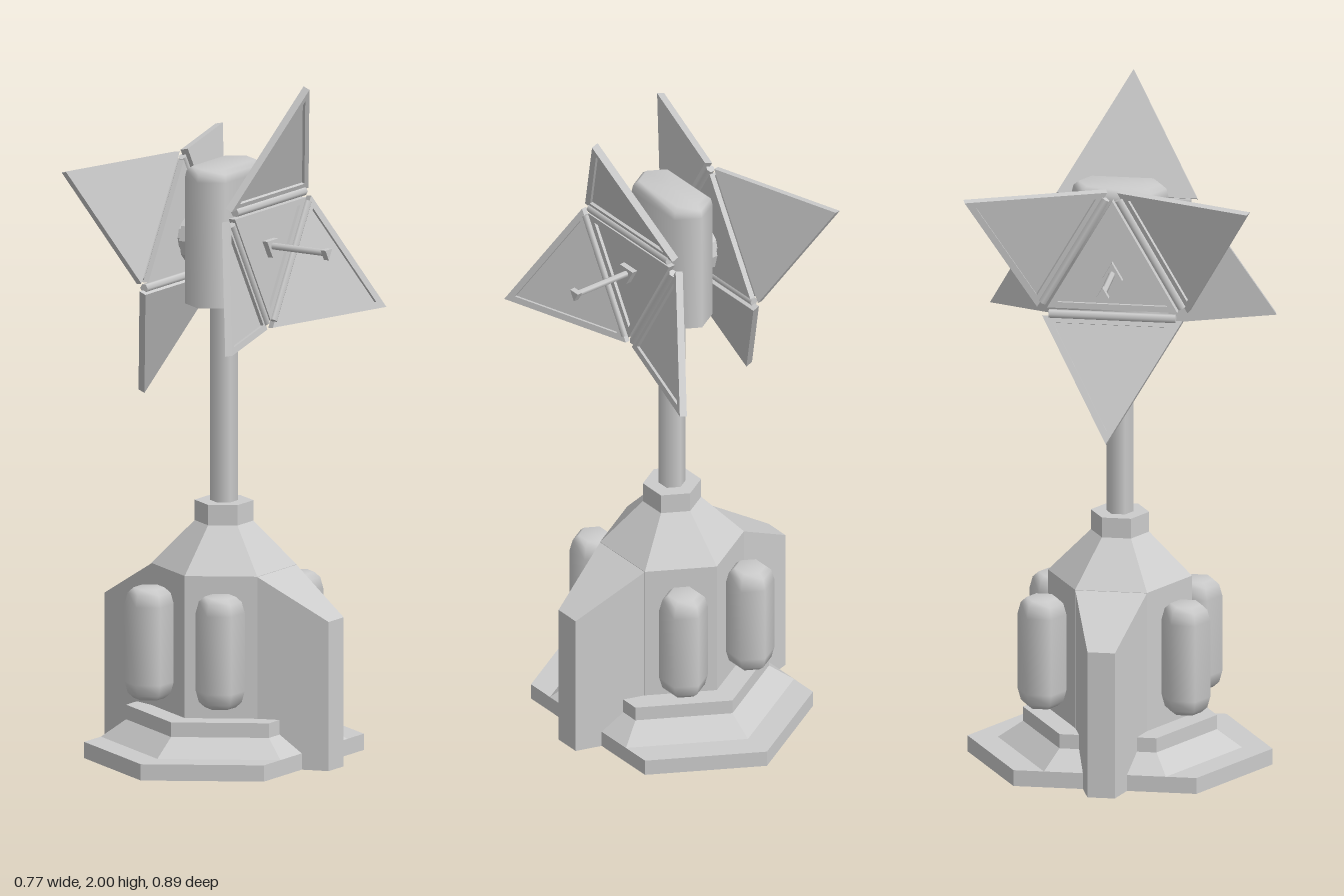
import * as THREE from 'three';

const flat = new THREE.MeshStandardMaterial({ color: 0xcccccc, flatShading: true });
const smooth = new THREE.MeshStandardMaterial({ color: 0xcccccc });

function add(parent, name, geometry, material = flat, x = 0, y = 0, z = 0) {
  const mesh = new THREE.Mesh(geometry, material);
  mesh.name = name;
  mesh.position.set(x, y, z);
  parent.add(mesh);
  return mesh;
}

// Six-sided solid from a profile of [radius, height], corners on the z axis
function hexLathe(profile) {
  return new THREE.LatheGeometry(profile.map(([r, y]) => new THREE.Vector2(r, y)), 6);
}

// Pull the front and back halves apart along z
function stretchZ(geometry, d) {
  const p = geometry.attributes.position;
  for (let i = 0; i < p.count; i++) {
    const z = p.getZ(i);
    if (Math.abs(z) > 1e-4) p.setZ(i, z + Math.sign(z) * d);
  }
  return geometry;
}

// Counter-clockwise triangle, shrunk about its centroid by s
function triangle(pts, s = 1) {
  const cx = (pts[0][0] + pts[1][0] + pts[2][0]) / 3;
  const cy = (pts[0][1] + pts[1][1] + pts[2][1]) / 3;
  return pts.map(([x, y]) => new THREE.Vector2(cx + (x - cx) * s, cy + (y - cy) * s));
}

// Triangular plate with a raised rim on its outer (+z) face
function addPanel(parent, name, pts) {
  const panel = new THREE.Group();
  panel.name = name;
  const plate = new THREE.Shape(triangle(pts));
  const rim = new THREE.Shape(triangle(pts));
  rim.holes.push(new THREE.Path(triangle(pts, 0.84).reverse()));
  add(panel, name + 'Plate', new THREE.ExtrudeGeometry(plate, { depth: 0.013, bevelEnabled: false }));
  add(panel, name + 'Rim', new THREE.ExtrudeGeometry(rim, { depth: 0.009, bevelEnabled: false }), flat, 0, 0, 0.013);
  parent.add(panel);
  return panel;
}

// One dish, built facing +z around its axis
function makeDish() {
  const dish = new THREE.Group();
  dish.name = 'dish';
  const along = (name, r, z0, z1, sides, mat = flat) => {
    const g = new THREE.CylinderGeometry(r, r, z1 - z0, sides).rotateX(Math.PI / 2);
    return add(dish, name, g, mat, 0, 0, (z0 + z1) / 2);
  };
  along('hubRing', 0.085, 0.06, 0.1, 12, flat);
  along('hubCap', 0.052, 0.1, 0.126, 12, flat);
  along('hubShaft', 0.017, 0.12, 0.142, 8, smooth);

  addPanel(dish, 'centrePanel', [[0.19, 0.11], [-0.19, 0.11], [0, -0.22]]).position.z = 0.138;

  // Three hinged petals leaning outward
  for (let i = 0; i < 3; i++) {
    const arm = new THREE.Group();
    arm.name = 'petalArm';
    arm.rotation.z = i * Math.PI * 2 / 3;
    const petal = addPanel(arm, 'petal', [[-0.205, 0], [0.205, 0], [0, 0.366]]);
    petal.position.set(0, 0.143, 0.138);
    petal.rotation.x = 0.378;
    const bar = new THREE.CylinderGeometry(0.013, 0.013, 0.37, 6).rotateZ(Math.PI / 2);
    add(arm, 'hinge', bar, smooth, 0, 0.129, 0.156);
    dish.add(arm);
  }

  // Feed antenna
  const mount = along('antennaMount', 0.035, 0.15, 0.168, 3);
  const tip = along('antennaTip', 0.021, 0.343, 0.36, 3);
  mount.geometry.rotateZ(Math.PI * 2);
  tip.geometry.rotateZ(Math.PI * 2);
  along('antennaRod', 0.01, 0.15, 0.345, 6, smooth);
  return dish;
}

export function createModel() {
  const model = new THREE.Group();
  model.name = 'relayTower';

  // Stepped foot
  add(model, 'footPlate', stretchZ(hexLathe([[0, 0], [0.356, 0], [0.356, 0.048], [0, 0.048]]), 0.089));
  add(model, 'footStep', hexLathe([[0.356, 0.048], [0.283, 0.1], [0.283, 0.143], [0, 0.143]]));

  // Hexagonal body with tapered roof and collar
  add(model, 'body', hexLathe([
    [0, 0], [0.21, 0], [0.21, 0.562], [0.085, 0.69], [0.085, 0.75], [0, 0.75],
  ]));

  // Tapered side buttresses
  for (const s of [1, -1]) {
    const g = new THREE.BoxGeometry(0.205, 1, 1);
    const p = g.attributes.position;
    for (let i = 0; i < p.count; i++) {
      const outer = p.getX(i) * s > 0;
      p.setY(i, p.getY(i) < 0 ? 0 : outer ? 0.44 : 0.562);
      p.setZ(i, Math.sign(p.getZ(i)) * (outer ? 0.04 : 0.105));
    }
    add(model, 'buttress', g, flat, s * 0.2825);
  }

  // Four tanks
  const tank = hexLathe([
    [0, -0.163], [0.045, -0.163], [0.062, -0.148], [0.071, -0.115],
    [0.071, 0.115], [0.062, 0.148], [0.045, 0.163], [0, 0.163],
  ]);
  for (const x of [-0.122, 0.122]) for (const z of [-0.21, 0.21]) add(model, 'tank', tank, smooth, x, 0.352, z);

  // Mast and head
  add(model, 'mast', new THREE.CylinderGeometry(0.04, 0.04, 0.62, 6), smooth, 0, 1.05, 0);
  const pod = [[0.081, 1.34], [0.081, 1.71], [0.076, 1.732], [0.06, 1.745], [0, 1.745]];
  add(model, 'headPod', stretchZ(hexLathe(pod), 0.06), smooth);
  add(model, 'headPodBase', stretchZ(hexLathe([[0, 1.34], [0.081, 1.34]]), 0.06));

  // Opposed dishes, the right one turned upside down
  for (const turn of [0, Math.PI]) {
    const side = new THREE.Group();
    side.name = turn ? 'rightDish' : 'leftDish';
    const dish = makeDish();
    dish.rotation.y = Math.PI / 2;
    side.add(dish);
    side.position.y = 1.518;
    side.rotation.z = turn;
    model.add(side);
  }
  return model;
}
